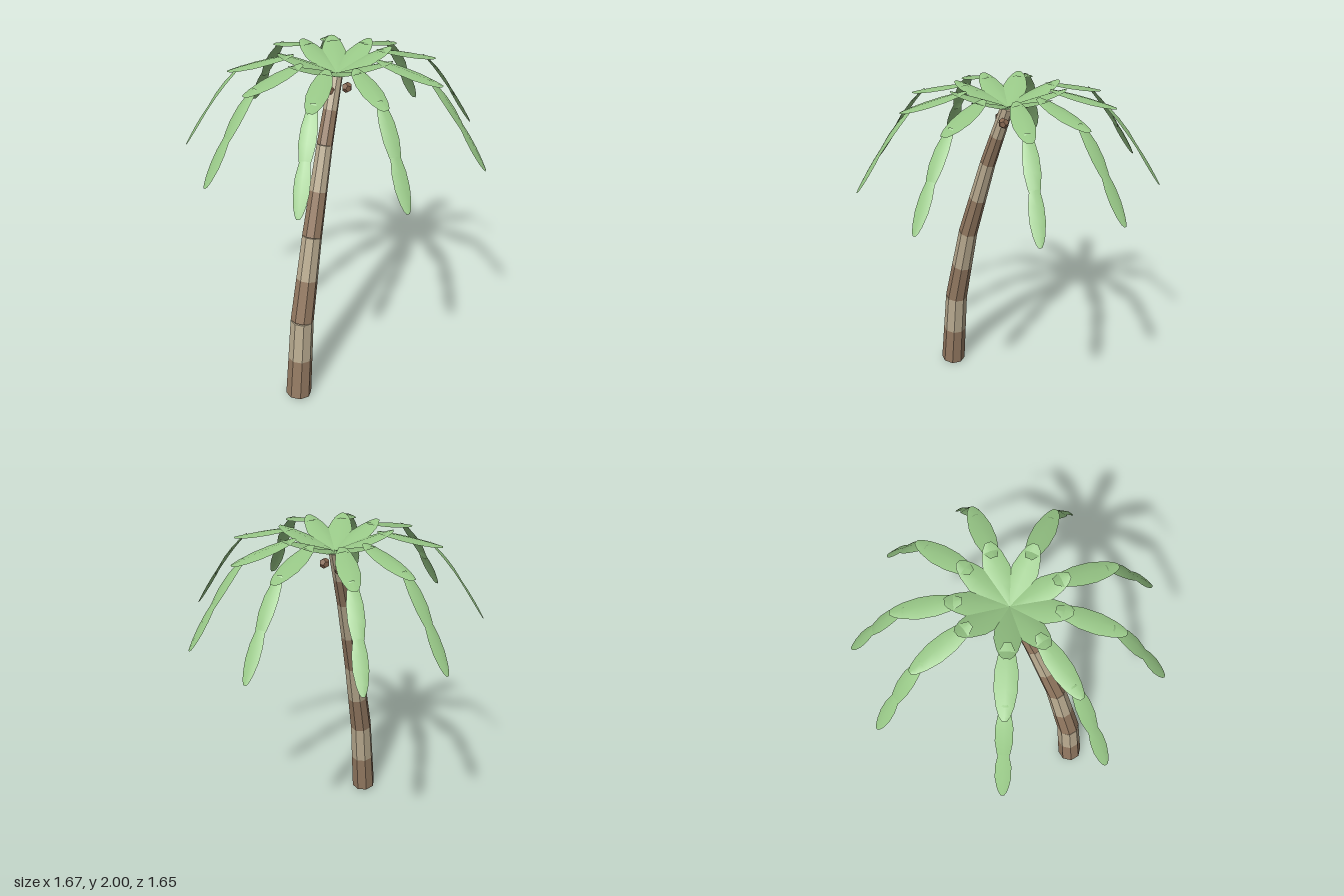
import * as THREE from 'three';

const mat = (color, extra = {}) => new THREE.MeshStandardMaterial({ color, flatShading: true, ...extra });
const barkDark = mat(0x947a62);
const barkLight = mat(0xb9ab90);
const leafGreen = mat(0x98c887, { flatShading: false, side: THREE.DoubleSide });
const nutBrown = mat(0x84654f);

// Tapered eight-sided cylinder between two points
function taperedBand(a, b, ra, rb, material) {
  const dir = b.clone().sub(a);
  const mesh = new THREE.Mesh(new THREE.CylinderGeometry(rb, ra, dir.length(), 8), material);
  mesh.position.copy(a).add(b).multiplyScalar(0.5);
  mesh.quaternion.setFromUnitVectors(new THREE.Vector3(0, 1, 0), dir.normalize());
  return mesh;
}

// Leaf blade from (r0, y0) to (r1, y1): arched along its length and shallowly domed across
const OUTLINE = [[0, 0.3], [0.12, 0.68], [0.35, 0.97], [0.6, 1], [0.82, 0.75], [0.94, 0.48], [1, 0.22]];
function leafBlade([r0, y0], [r1, y1], halfWidth, arch) {
  const len = Math.hypot(r1 - r0, y1 - y0);
  const nx = -(y1 - y0) / len, ny = (r1 - r0) / len;
  const pos = [], index = [];
  OUTLINE.forEach(([t, w], i) => {
    for (const side of [-1, 0, 1]) {
      const lift = 4 * arch * t * (1 - t) - Math.abs(side) * 0.24 * w * halfWidth;
      pos.push(r0 + (r1 - r0) * t + nx * lift, y0 + (y1 - y0) * t + ny * lift, side * w * halfWidth);
    }
    if (i === 0) return;
    for (let k = 0; k < 2; k++) {
      const p = (i - 1) * 3 + k, q = i * 3 + k;
      index.push(p, p + 1, q, p + 1, q + 1, q);
    }
  });
  const geo = new THREE.BufferGeometry();
  geo.setAttribute('position', new THREE.Float32BufferAttribute(pos, 3));
  geo.setIndex(index);
  geo.computeVertexNormals();
  return geo;
}

export function createModel() {
  const model = new THREE.Group();

  // Trunk: four leaning segments, each a dark and a light band
  const trunk = new THREE.Group();
  trunk.name = 'trunk';
  const joints = [
    [-0.505, 0.009, 0.054, 0.076], [-0.45, 0.52, 0.053, 0.068], [-0.327, 1.03, 0.044, 0.057],
    [-0.165, 1.525, 0.02, 0.045], [-0.026, 1.885, 0, 0.037],
  ];
  for (let i = 0; i < 4; i++) {
    const [ax, ay, az, ra] = joints[i], [bx, by, bz, rb] = joints[i + 1];
    const a = new THREE.Vector3(ax, ay, az), b = new THREE.Vector3(bx, by, bz);
    const mid = a.clone().lerp(b, 0.5), rm = (ra + rb) / 2;
    const lower = taperedBand(a, mid, ra, rm, barkDark);
    const upper = taperedBand(mid, b, rm, rb, barkLight);
    lower.name = 'darkBarkBand';
    upper.name = 'lightBarkBand';
    trunk.add(lower, upper);
  }
  model.add(trunk);

  // Fronds: four overlapping blades each, rising and then drooping
  const blades = [
    leafBlade([0, 1.89], [0.315, 1.998], 0.069, 0.004),
    leafBlade([0.23, 1.993], [0.59, 1.9], 0.058, 0.007),
    leafBlade([0.52, 1.927], [0.73, 1.655], 0.044, 0.018),
    leafBlade([0.685, 1.73], [0.853, 1.465], 0.041, 0.006),
  ];
  const crown = new THREE.Group();
  crown.name = 'crown';
  crown.position.set(-0.02, 0, 0);
  for (const angle of [0, 33.5, 77, 121, 157.5, 197.5, 235.5, 287, 319.5]) {
    const frond = new THREE.Group();
    frond.name = 'frond';
    frond.rotation.y = -THREE.MathUtils.degToRad(angle);
    for (const geo of blades) {
      const blade = new THREE.Mesh(geo, leafGreen);
      blade.name = 'leafBlade';
      frond.add(blade);
    }
    crown.add(frond);
  }
  model.add(crown);

  // Coconuts hanging round the top of the trunk
  for (const [x, z] of [[-0.082, 0], [0, 0.052], [0.034, -0.063]]) {
    const nut = new THREE.Mesh(new THREE.DodecahedronGeometry(0.03, 0), nutBrown);
    nut.name = 'coconut';
    nut.position.set(x, 1.812, z);
    model.add(nut);
  }
  return model;
}
